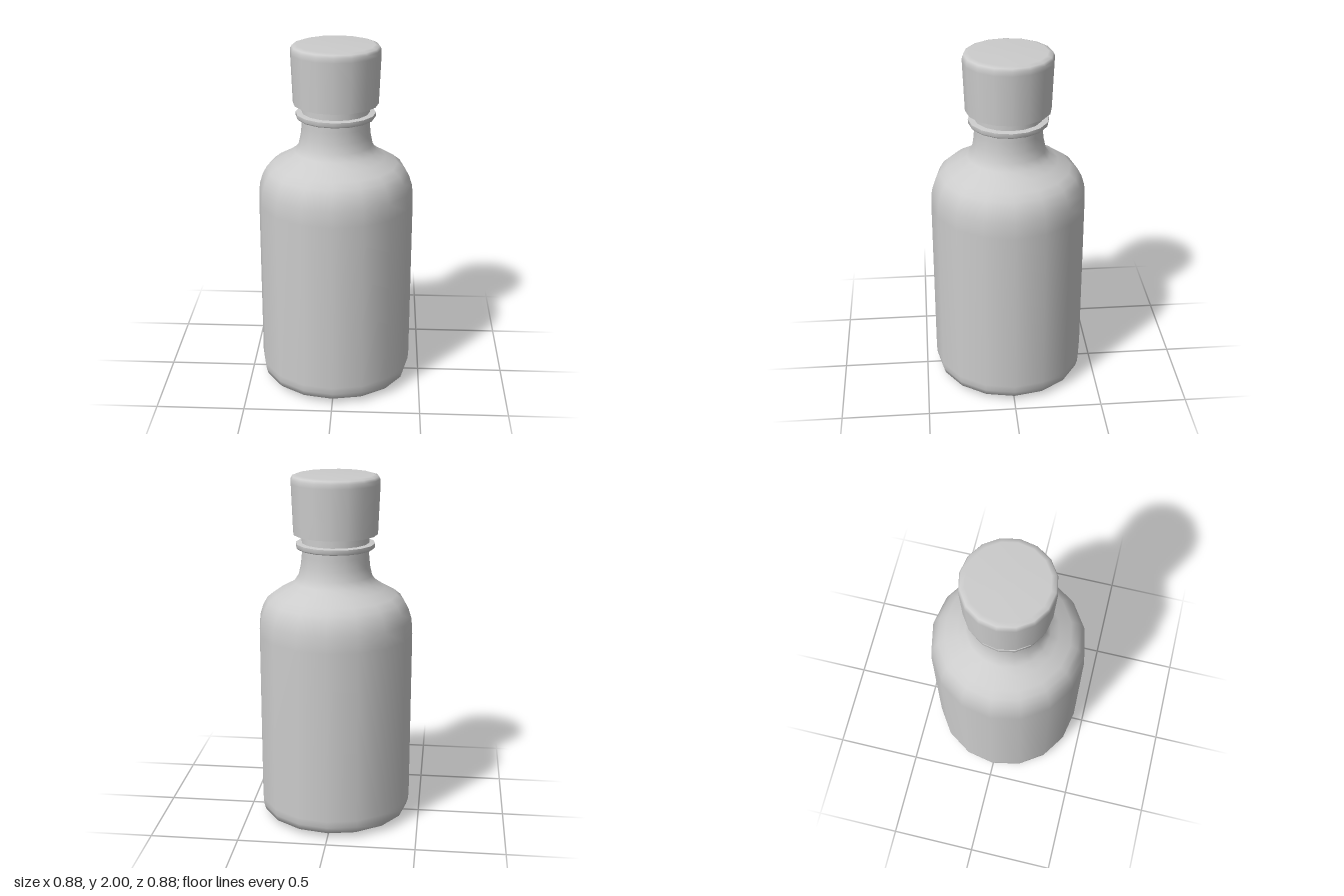
import * as THREE from 'three';
import { mergeGeometries } from 'three/addons/utils/BufferGeometryUtils.js';

const SIDES = 16;

// Each run of [radius, y] points is smooth; the joint between two runs stays sharp.
function turned(name, runs, material) {
  const parts = runs.map((run) =>
    new THREE.LatheGeometry(run.map(([r, y]) => new THREE.Vector2(r, y)), SIDES));
  const mesh = new THREE.Mesh(mergeGeometries(parts), material);
  mesh.name = name;
  return mesh;
}

export function createModel() {
  const group = new THREE.Group();
  group.name = 'bottle';
  const material = new THREE.MeshStandardMaterial({ color: 0xcccccc });

  // Body: rounded base, straight wall, shoulder and neck
  group.add(turned('body', [[
    [0, 0], [0.33, 0.003], [0.385, 0.013], [0.425, 0.035], [0.436, 0.07], [0.44, 0.11],
    [0.44, 1.1], [0.434, 1.19], [0.415, 1.25], [0.39, 1.295], [0.35, 1.327],
    [0.28, 1.365], [0.233, 1.397], [0.208, 1.435], [0.196, 1.49], [0.19, 1.55], [0.19, 1.7],
  ]], material));

  // Narrow collar around the neck
  group.add(turned('neckRing', [
    [[0.185, 1.588], [0.215, 1.588]],
    [[0.215, 1.588], [0.223, 1.597], [0.223, 1.618]],
    [[0.223, 1.618], [0.185, 1.622]],
  ], material));

  // Cap: slightly flared wall with a softened top edge
  group.add(turned('cap', [
    [[0.18, 1.67], [0.238, 1.67]],
    [[0.238, 1.67], [0.249, 1.95], [0.248, 1.975], [0.24, 1.99], [0.215, 1.998], [0, 2]],
  ], material));

  return group;
}
